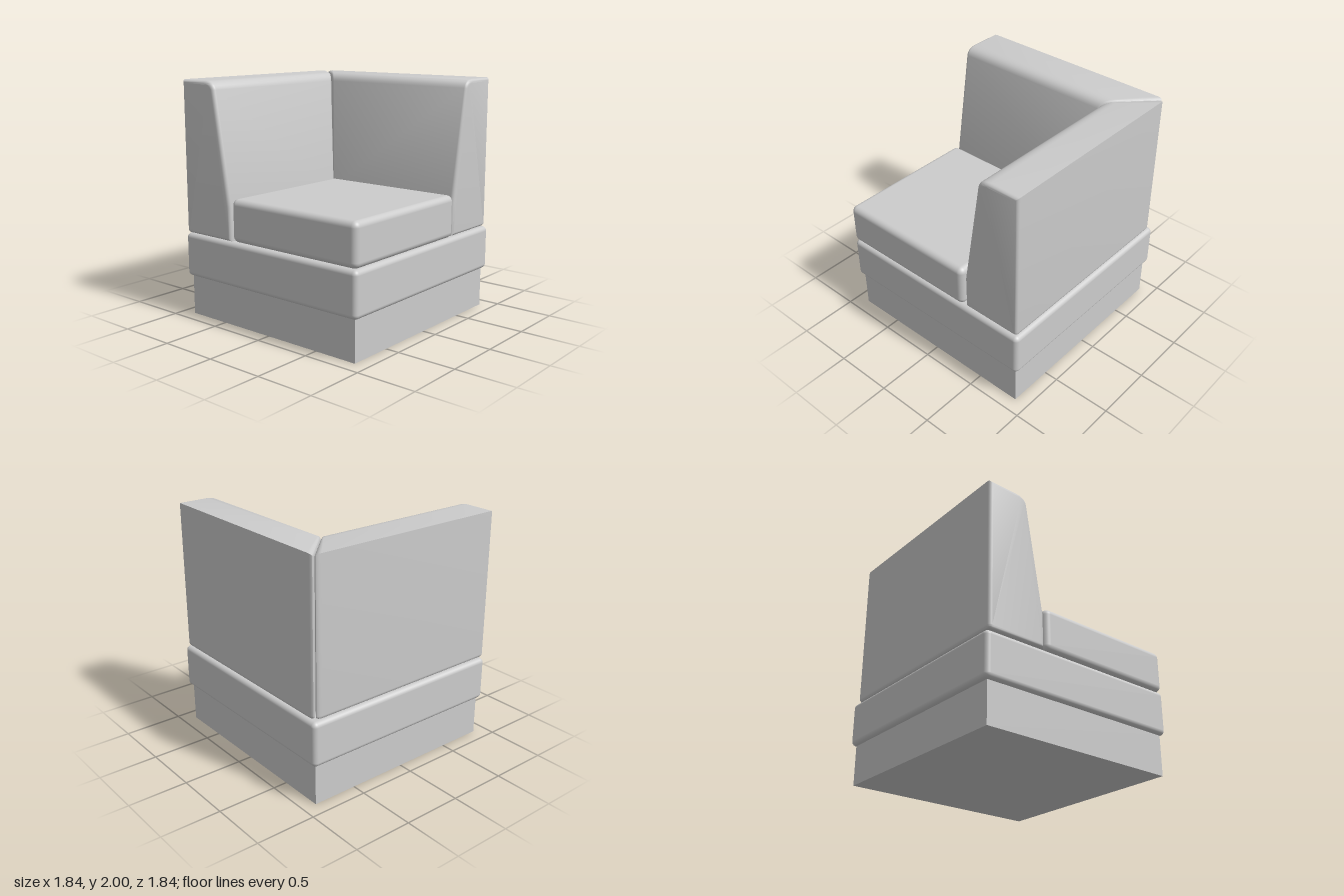
import * as THREE from 'three';
import { toCreasedNormals } from 'three/addons/utils/BufferGeometryUtils.js';
import { RoundedBoxGeometry } from 'three/addons/geometries/RoundedBoxGeometry.js';

const INNER = 0.375, OUTER = 0.9, BOTTOM = 0.72, TOP = 2;

// Backrest cross-section: upright foot, sloping front, rounded front top, square rear top
function backrestProfile() {
  const r = 0.035;
  const s = new THREE.Shape();
  s.moveTo(INNER, BOTTOM);
  s.lineTo(OUTER - r, BOTTOM);
  s.quadraticCurveTo(OUTER, BOTTOM, OUTER, BOTTOM + r);
  s.lineTo(OUTER, TOP);
  s.lineTo(0.64, TOP);
  s.bezierCurveTo(0.58, TOP, 0.54, 1.98, 0.527, 1.93);
  s.lineTo(INNER, 1.0);
  s.closePath();
  return s;
}

// Backrest along z with a soft free end at z = end and a mitred end on the plane z = -x
function backrestGeometry(end, mirrored) {
  const b = 0.03;
  const geo = new THREE.ExtrudeGeometry(backrestProfile(), {
    depth: 1, steps: 1, curveSegments: 8, bevelEnabled: true,
    bevelThickness: b, bevelSize: b, bevelOffset: -b, bevelSegments: 5,
  });
  const p = geo.attributes.position;
  for (let i = 0; i < p.count; i++) {
    const x = p.getX(i), z = p.getZ(i);
    if (z > 0.5) {
      p.setZ(i, end + (z - 1 - b));
    } else {
      const s = Math.min(1, Math.max(0, -z / b));
      const k = (x - INNER) / (OUTER - INNER);
      p.setZ(i, -x + 0.004 + 0.065 * k * (1 - s));
    }
  }
  if (mirrored) {
    // reflect across the mitre plane, then restore the corner order
    for (let i = 0; i < p.count; i++) p.setXYZ(i, -p.getZ(i), p.getY(i), -p.getX(i));
    const a = new THREE.Vector3(), c = new THREE.Vector3();
    for (let i = 0; i < p.count; i += 3) {
      a.fromBufferAttribute(p, i + 1);
      c.fromBufferAttribute(p, i + 2);
      p.setXYZ(i + 1, c.x, c.y, c.z);
      p.setXYZ(i + 2, a.x, a.y, a.z);
    }
  }
  return toCreasedNormals(geo, 0.6);
}

export function createModel() {
  const group = new THREE.Group();
  const fabric = new THREE.MeshStandardMaterial({ color: 0xcccccc });
  fabric.name = 'light grey fabric';

  const add = (name, geometry, x = 0, y = 0, z = 0) => {
    const mesh = new THREE.Mesh(geometry, fabric);
    mesh.name = name;
    mesh.position.set(x, y, z);
    group.add(mesh);
  };

  // Plinth and upholstered base
  add('plinth', new THREE.BoxGeometry(1.765, 0.35, 1.765), 0, 0.175, 0);
  add('base', new RoundedBoxGeometry(1.84, 0.375, 1.84, 5, 0.04), 0, 0.5275, 0);

  // Square seat cushion in the open corner
  add('seatCushion', new RoundedBoxGeometry(1.28, 0.355, 1.28, 5, 0.05), -0.28, 0.8975, 0.28);

  // Two backrests meeting at a mitred corner
  add('sideBackrest', backrestGeometry(0.9, false));
  add('rearBackrest', backrestGeometry(0.92, true));

  return group;
}
